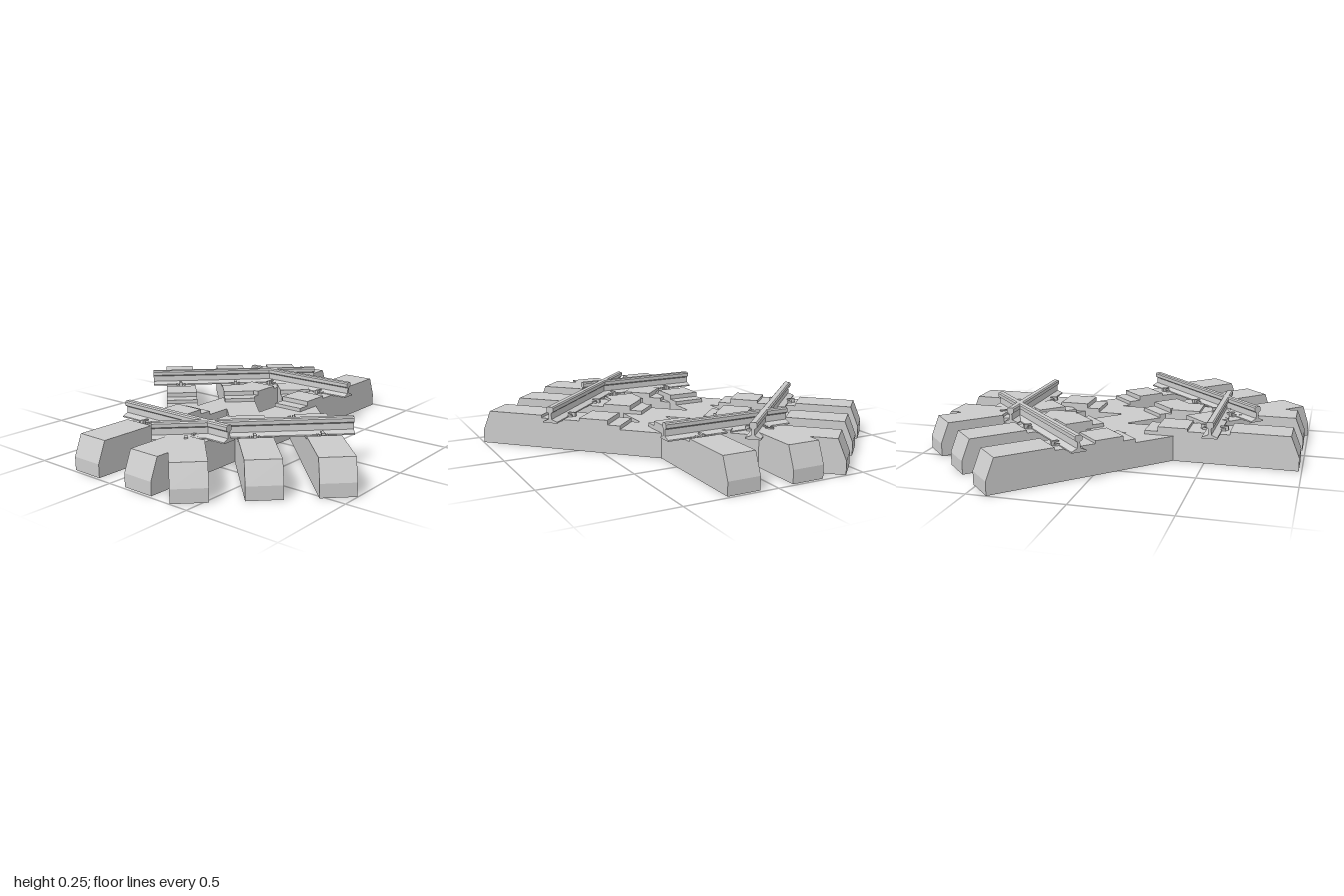
import * as THREE from 'three';

const material = new THREE.MeshStandardMaterial({ color: 0xcccccc, flatShading: true });
const GAUGE = 0.54; // rail centre to track centre

// Closed outline from half a profile, mirrored about the vertical axis, extruded and centred
function mirroredExtrude(half, depth) {
  const all = [...half, ...half.map(([x, y]) => [-x, y]).reverse()];
  const shape = new THREE.Shape(all.map(([x, y]) => new THREE.Vector2(x, y)));
  const geo = new THREE.ExtrudeGeometry(shape, { depth, bevelEnabled: false });
  return geo.translate(0, 0, -depth / 2);
}

function add(parent, name, geometry, x = 0, y = 0, z = 0) {
  const mesh = new THREE.Mesh(geometry, material);
  mesh.name = name;
  mesh.position.set(x, y, z);
  parent.add(mesh);
  return mesh;
}

// Tie side profile: chamfered end, recessed rail seat, stepped-down middle
const tieGeometry = mirroredExtrude([
  [0.985, 0], [0.985, 0.07], [0.94, 0.18], [0.63, 0.18], [0.63, 0.165],
  [0.41, 0.165], [0.41, 0.18], [0.25, 0.18], [0.25, 0.155], [0.18, 0.155], [0.18, 0.135],
], 0.176).rotateY(-Math.PI / 2);

// Rail section: flat foot, thin web, wider head
const railHalf = [
  [0.04, 0.163], [0.04, 0.17], [0.009, 0.183], [0.007, 0.215],
  [0.019, 0.223], [0.019, 0.242], [0.013, 0.249],
];

// Spike and clips holding the rail foot on one side
function makeFastener(parent, x, z, side) {
  const fastener = new THREE.Group();
  fastener.name = 'railFastener';
  fastener.position.set(x, 0, z);
  parent.add(fastener);
  add(fastener, 'spike', new THREE.BoxGeometry(0.018, 0.025, 0.018), 0, 0.174, side * 0.063);
  add(fastener, 'spikeHook', new THREE.BoxGeometry(0.014, 0.008, 0.03), 0, 0.182, side * 0.045);
  for (const dx of [-0.022, 0.022]) {
    add(fastener, 'clip', new THREE.BoxGeometry(0.01, 0.012, 0.026), dx, 0.17, side * 0.048);
  }
}

// One piece of track: ties run along z, rails along x
function makeTrack(name, tieOffsets, railLength) {
  const track = new THREE.Group();
  track.name = name;
  const railGeometry = mirroredExtrude(railHalf, railLength).rotateY(Math.PI / 2);
  for (const x of tieOffsets) add(track, 'tie', tieGeometry, x);
  for (const end of [-1, 1]) {
    add(track, 'rail', railGeometry, 0, 0, end * GAUGE);
    for (const x of tieOffsets) {
      for (const side of [-1, 1]) makeFastener(track, x, end * GAUGE, side);
    }
  }
  return track;
}

export function createModel() {
  const model = new THREE.Group();
  model.name = 'trackCrossing';
  model.add(makeTrack('straightTrack', [-0.179, 0.179], 0.712));
  const diagonal = makeTrack('diagonalTrack', [-0.338, 0, 0.338], 1.01);
  diagonal.rotation.y = Math.PI / 4;
  model.add(diagonal);
  return model;
}
